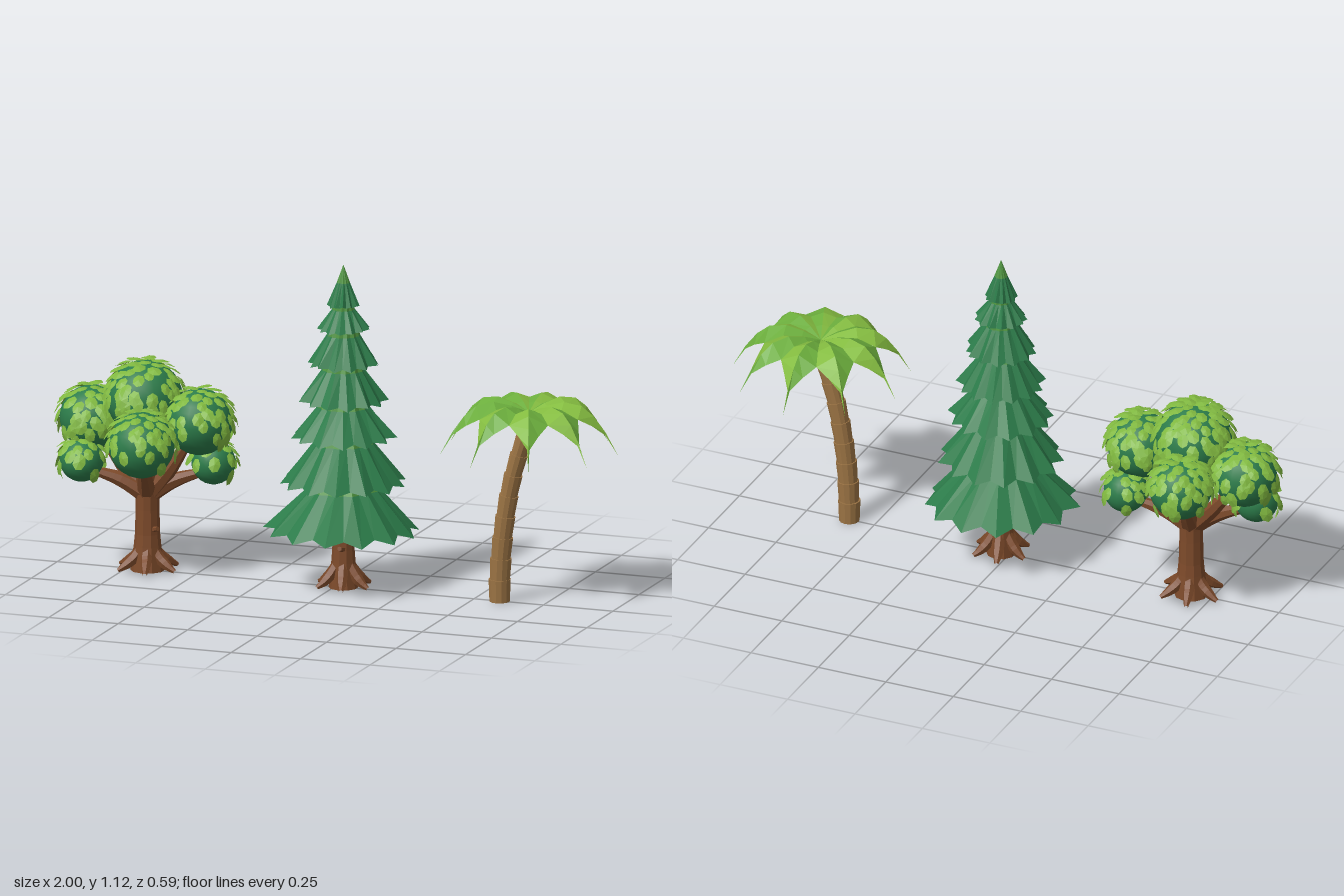
import * as THREE from 'three';
import { mergeGeometries } from 'three/addons/utils/BufferGeometryUtils.js';

const V = (x, y, z) => new THREE.Vector3(x, y, z);
const mat = (name, color, double) => {
  const m = new THREE.MeshStandardMaterial({ color });
  m.name = name;
  if (double) m.side = THREE.DoubleSide;
  return m;
};

// small seeded random generator
function seeded(seed) {
  return () => (seed = (seed * 16807) % 2147483647) / 2147483647;
}

// faceted copy of a geometry
function facet(geo) {
  const g = geo.index ? geo.toNonIndexed() : geo;
  g.computeVertexNormals();
  return g;
}

function add(parent, name, geo, material) {
  const mesh = new THREE.Mesh(geo, material);
  mesh.name = name;
  parent.add(mesh);
  return mesh;
}

// flat-shaded surface between rows of points; closed rows wrap round
function loft(rows, closed) {
  const pos = [], n = rows[0].length;
  for (let i = 0; i < rows.length - 1; i++)
    for (let j = 0; j < (closed ? n : n - 1); j++) {
      const k = (j + 1) % n, a = rows[i][j], b = rows[i][k], c = rows[i + 1][j], d = rows[i + 1][k];
      for (const p of [a, c, b, b, c, d]) pos.push(p.x, p.y, p.z);
    }
  const g = new THREE.BufferGeometry();
  g.setAttribute('position', new THREE.Float32BufferAttribute(pos, 3));
  g.computeVertexNormals();
  return g;
}

// tapered tube through points, with a radius at each point
function limb(points, radii, sides = 8, segs = 8) {
  const curve = new THREE.CatmullRomCurve3(points);
  const g = new THREE.TubeGeometry(curve, segs, 1, sides);
  const p = g.attributes.position, v = V();
  for (let i = 0; i < p.count; i++) {
    const u = Math.floor(i / (sides + 1)) / segs, c = curve.getPointAt(u);
    const f = u * (radii.length - 1), k = Math.min(Math.floor(f), radii.length - 2);
    const r = THREE.MathUtils.lerp(radii[k], radii[k + 1], f - k);
    v.fromBufferAttribute(p, i).sub(c).multiplyScalar(r).add(c);
    p.setXYZ(i, v.x, v.y, v.z);
  }
  return facet(g);
}

// roots fanning out round a trunk, plus the underside
function addRoots(group, count, reach, material) {
  for (let i = 0; i < count; i++) {
    const a = (i / count) * Math.PI * 2 + 0.25, at = (r, y) => V(Math.cos(a) * r, y, Math.sin(a) * r);
    const path = [at(0.02, 0.09), at(0.045, 0.05), at(reach * 0.75, 0.022), at(reach, 0.008)];
    add(group, 'root', limb(path, [0.016, 0.02, 0.018, 0.007], 6), material);
  }
  const base = add(group, 'trunkBase', new THREE.CircleGeometry(reach * 0.72, 12), material);
  base.rotation.x = Math.PI / 2;
  base.position.y = 0.004;
}

function addStub(group, x, y, z, angle, material) {
  const stub = add(group, 'branchStub', facet(new THREE.CylinderGeometry(0.008, 0.011, 0.035, 6)), material);
  stub.position.set(x, y, z);
  stub.quaternion.setFromUnitVectors(V(0, 1, 0), V(Math.cos(angle), 0.25, Math.sin(angle)).normalize());
}

function buildPine(m) {
  const pine = new THREE.Group();
  pine.name = 'pineTree';
  add(pine, 'pineTrunk', limb([V(0, 0, 0), V(0, 0.06, 0), V(0, 0.2, 0), V(0, 0.36, 0)], [0.05, 0.038, 0.036, 0.03], 10), m.bark);
  addRoots(pine, 6, 0.1, m.bark);
  addStub(pine, 0.045, 0.18, 0.01, 0.1, m.bark);
  addStub(pine, 0.01, 0.145, 0.05, 1.5, m.bark);
  addStub(pine, -0.01, 0.17, -0.035, -1.6, m.bark);

  // pleated skirts: rim height, rim radius, shoulder height, shoulder radius
  const tiers = [
    [0.19, 0.268, 0.342, 0.12], [0.355, 0.218, 0.502, 0.1], [0.515, 0.182, 0.628, 0.086],
    [0.64, 0.151, 0.756, 0.071], [0.77, 0.124, 0.876, 0.055], [0.89, 0.09, 0.965, 0.038], [0.973, 0.056, 1.058, 0.022]];
  tiers.forEach(([y0, r0, y1, r1], t) => {
    const rnd = seeded(77 + t * 31), n = 13, last = t === tiers.length - 1;
    const rim = [], shoulder = [], collar = [], hole = [];
    for (let i = 0; i < n * 2; i++) {
      const a = (i / (n * 2)) * Math.PI * 2 + t * 0.37, out = i % 2 === 0;
      const at = (r, y) => V(Math.cos(a) * r, y, Math.sin(a) * r);
      const k = rnd();
      rim.push(out ? at(r0 * (0.95 + 0.07 * k), y0 + 0.012 * k) : at(r0 * (0.82 + 0.05 * k), y0 + 0.08 * r0));
      shoulder.push(at(r1 * (out ? 1.03 : 0.94), y1));
      collar.push(last ? V(0, 1.12, 0) : at(r1 * (out ? 0.8 : 0.76), y1 + 0.042));
      hole.push(at(r0 * 0.36, y0 + r0 * 0.2));
    }
    add(pine, 'pineSkirt', loft([hole, rim, shoulder], true), m.pine);
    add(pine, last ? 'pineTip' : 'pineCollar', loft([shoulder, collar], true), m.pineLight);
  });
  return pine;
}

function buildPalm(m) {
  const palm = new THREE.Group();
  palm.name = 'palmTree';
  // stacked trunk sections along a leaning curve
  const curve = new THREE.CatmullRomCurve3([V(-0.107, 0, 0), V(-0.097, 0.2, 0), V(-0.062, 0.42, 0), V(0.008, 0.655, 0)]);
  const count = 9;
  for (let i = 0; i < count; i++) {
    const a = curve.getPointAt(i / count), b = curve.getPointAt((i + 1) / count);
    const r = 0.038 - 0.0011 * i, dir = b.clone().sub(a);
    const g = facet(new THREE.CylinderGeometry(r, r - 0.003, dir.length() + 0.003, 12));
    const seg = add(palm, 'palmTrunkSection', g, m.palmBark);
    seg.position.copy(a).add(b).multiplyScalar(0.5);
    if (i === 0) seg.position.y += 0.0015;
    else seg.quaternion.setFromUnitVectors(V(0, 1, 0), dir.normalize());
  }
  // coconuts
  [0.3, 1.57, 3.1, 4.6].forEach((a) => {
    const nut = add(palm, 'coconut', new THREE.SphereGeometry(0.02, 12, 8), m.coconut);
    nut.position.set(0.008 + Math.cos(a) * 0.026, 0.61, Math.sin(a) * 0.026);
  });
  // folded fronds: radius, ridge height, half width, edge drop
  const sections = [[0, 0.665, 0, 0], [0.06, 0.69, 0.022, 0.008], [0.12, 0.705, 0.0437, 0.018], [0.18, 0.694, 0.0655, 0.032],
    [0.222, 0.66, 0.034, 0.026], [0.262, 0.607, 0.004, 0.01], [0.306, 0.527, 0, 0]];
  for (let i = 0; i < 9; i++) {
    const frond = new THREE.Group();
    frond.name = 'frond';
    for (const s of [1, -1]) {
      const ridge = sections.map(([r, y]) => V(r, y, 0));
      const edge = sections.map(([r, y, w, d]) => V(r, y - d, s * w));
      add(frond, 'frondHalf', loft(s > 0 ? [ridge, edge] : [edge, ridge], false), s > 0 ? m.frond : m.frondDark);
    }
    frond.rotation.y = Math.PI / 2 + (i / 9) * Math.PI * 2;
    palm.add(frond);
  }
  return palm;
}

function buildBroadleaf(m) {
  const tree = new THREE.Group();
  tree.name = 'broadleafTree';
  add(tree, 'trunk', limb([V(0, 0, 0), V(0, 0.06, 0), V(0, 0.2, 0), V(0, 0.34, 0)], [0.058, 0.043, 0.04, 0.042], 10), m.bark);
  addRoots(tree, 6, 0.112, m.bark);
  addStub(tree, 0.035, 0.15, 0.025, 0.6, m.bark);

  // small cupped leaf
  const leaf = new THREE.CircleGeometry(0.021, 7);
  leaf.scale(0.9, 1.2, 1);
  leaf.attributes.position.setZ(0, 0.005);
  const leafGeo = facet(leaf);

  // foliage balls: x, y, z, radius
  const balls = [
    [-0.01, 0.595, 0, 0.13], [-0.205, 0.51, -0.015, 0.11], [0.187, 0.53, 0, 0.113], [0.035, 0.47, 0.152, 0.112],
    [-0.035, 0.49, -0.162, 0.106], [0.215, 0.378, -0.06, 0.075], [-0.215, 0.378, 0.06, 0.075]];
  const rnd = seeded(4242), holder = new THREE.Object3D();
  balls.forEach(([x, y, z, r], b) => {
    const centre = V(x, y, z);
    const core = add(tree, 'foliageBall', new THREE.SphereGeometry(r, 20, 14), m.pine);
    core.position.copy(centre);
    const path = b === 0
      ? [V(0, 0.27, 0), V(0, 0.35, 0), V(x, y - r * 0.7, z)]
      : [V(0, 0.26, 0), V(x * 0.4, 0.31 + (y - 0.37) * 0.25, z * 0.4), V(x * 0.85, y - r * 0.45, z * 0.85)];
    add(tree, 'branch', limb(path, [0.034, 0.026, 0.014], 7), m.bark);

    // leaves spread over the ball, thinning towards its underside
    const leaves = [], n = Math.round(r * r * 10000);
    for (let i = 0; i < n; i++) {
      const h = 1 - (2 * (i + 0.5)) / n, a = i * 2.39996 + rnd() * 0.3, c = Math.sqrt(1 - h * h);
      if (h < -0.6 || rnd() > 0.62 + 0.42 * h) continue;
      const d = V(Math.cos(a) * c, h, Math.sin(a) * c);
      holder.position.copy(centre).addScaledVector(d, r + 0.008);
      holder.lookAt(holder.position.clone().add(d));
      holder.rotateZ((rnd() - 0.5) * 0.9);
      holder.rotateX(-0.32);
      holder.scale.setScalar(0.9 + rnd() * 0.3);
      holder.updateMatrix();
      leaves.push(leafGeo.clone().applyMatrix4(holder.matrix));
    }
    add(tree, 'leaves', mergeGeometries(leaves), m.leaf);
  });
  return tree;
}

export function createModel() {
  const m = {
    bark: mat('brown bark', 0x7d4a2a),
    palmBark: mat('tan bark', 0x9c7444),
    coconut: mat('coconut brown', 0x75452b),
    pine: mat('deep green', 0x2c7c4a, true),
    pineLight: mat('collar green', 0x4f9440, true),
    frond: mat('frond green', 0x84bc40, true),
    frondDark: mat('frond shade green', 0x6bad3c, true),
    leaf: mat('leaf green', 0x80b840, true),
  };
  const model = new THREE.Group();
  model.name = 'threeTrees';
  const broadleaf = buildBroadleaf(m), pine = buildPine(m), palm = buildPalm(m);
  broadleaf.position.x = -0.675;
  pine.position.x = 0.03;
  palm.position.x = 0.698;
  model.add(broadleaf, pine, palm);
  return model;
}
